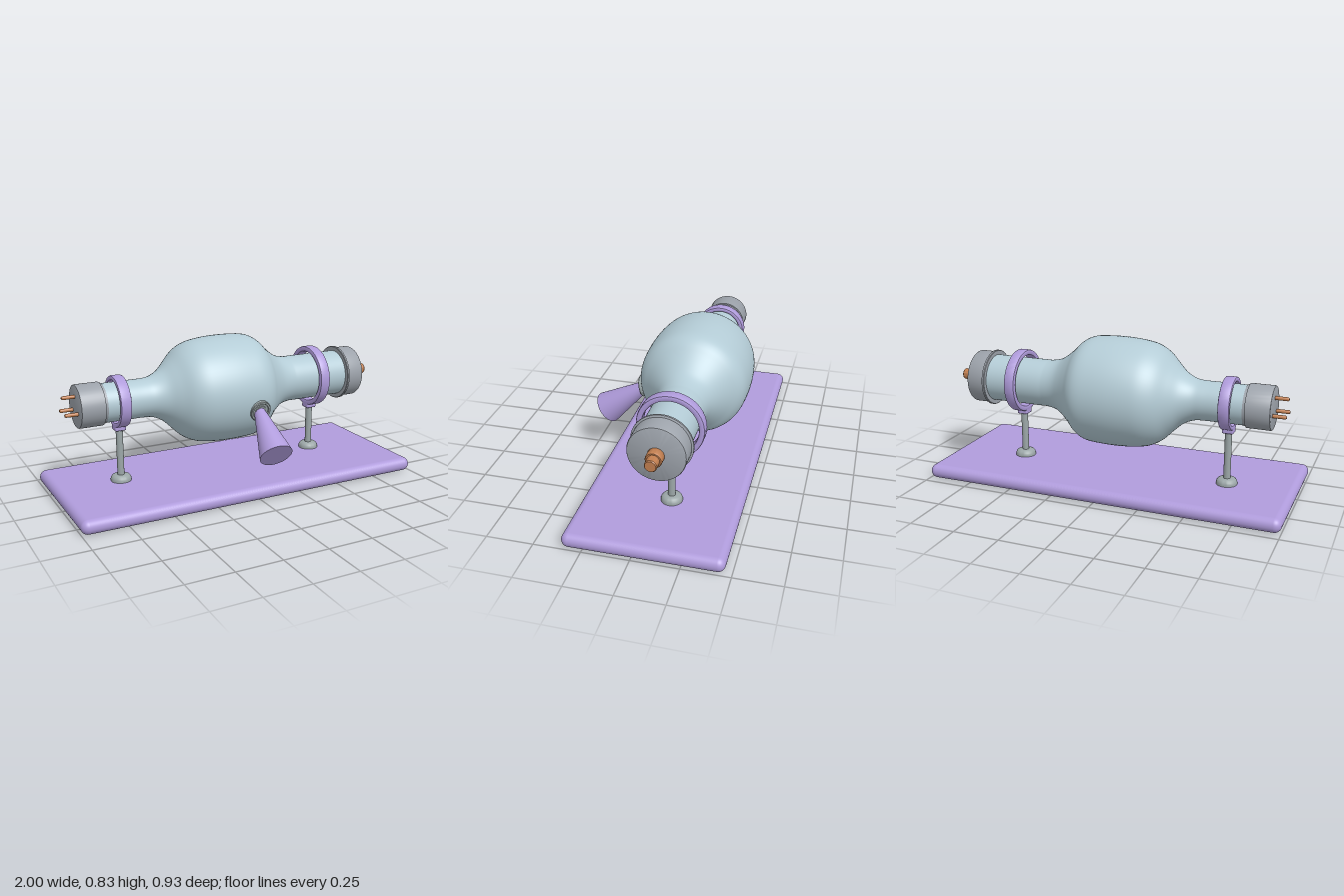
import * as THREE from 'three';
import { toCreasedNormals } from 'three/addons/utils/BufferGeometryUtils.js';
import { RoundedBoxGeometry } from 'three/addons/geometries/RoundedBoxGeometry.js';

const AXIS_Y = 0.528, AXIS_Z = -0.1;

function material(name, color) {
  const m = new THREE.MeshStandardMaterial({ color });
  m.name = name;
  return m;
}

export function createModel() {
  const glass = material('pale blue glass', 0xb4ccd6);
  const purple = material('lavender', 0xb09cdc);
  const metal = material('cap grey', 0x9da3ab);
  const steel = material('stand grey', 0x9ca7a8);
  const copper = material('copper', 0xc27f50);

  const model = new THREE.Group();
  model.name = 'tubeOnStand';

  function add(parent, name, geometry, mat, x = 0, y = 0, z = 0) {
    const mesh = new THREE.Mesh(geometry, mat);
    mesh.name = name;
    mesh.position.set(x, y, z);
    parent.add(mesh);
    return mesh;
  }

  // profile of [radius, height] turned around y, with sharp edges kept
  const turned = (profile, segments = 64) => toCreasedNormals(
    new THREE.LatheGeometry(profile.map(([r, h]) => new THREE.Vector2(r, h)), segments), 0.6);

  // everything in this group is turned around the long axis
  const tube = new THREE.Group();
  tube.name = 'tube';
  tube.position.set(0, AXIS_Y, AXIS_Z);
  model.add(tube);
  const along = (name, profile, mat, parent = tube) =>
    add(parent, name, turned(profile).rotateZ(-Math.PI / 2), mat);

  // base plate with fully rounded edges
  add(model, 'basePlate', new RoundedBoxGeometry(2, 0.078, 0.826, 8, 0.0385), purple, 0, 0.039, -0.053);

  // glass bulb with a narrow and a wide neck: [x, radius]
  const outline = [
    [-0.74, 0.106], [-0.6, 0.106], [-0.51, 0.106], [-0.45, 0.112], [-0.39, 0.14], [-0.337, 0.187],
    [-0.28, 0.242], [-0.22, 0.275], [-0.15, 0.29], [-0.05, 0.298], [0.05, 0.297], [0.13, 0.289],
    [0.18, 0.265], [0.225, 0.222], [0.28, 0.176], [0.33, 0.146], [0.39, 0.132], [0.46, 0.131], [0.76, 0.131]
  ];
  const curve = new THREE.SplineCurve(outline.map(([x, r]) => new THREE.Vector2(r, x)));
  add(tube, 'glassBulb', new THREE.LatheGeometry(curve.getPoints(90), 72).rotateZ(-Math.PI / 2), glass);

  // end caps with flanges
  along('narrowCap', [
    [0, -0.87], [0.109, -0.87], [0.115, -0.868], [0.117, -0.862], [0.117, -0.738],
    [0.109, -0.738], [0.109, -0.724], [0, -0.724]
  ], metal);
  along('wideCap', [
    [0, 0.74], [0.154, 0.74], [0.157, 0.743], [0.157, 0.753], [0.147, 0.757],
    [0.147, 0.846], [0.144, 0.852], [0.138, 0.855], [0, 0.855]
  ], metal);

  // copper contacts
  along('steppedContact', [
    [0, 0.85], [0.037, 0.85], [0.042, 0.858], [0.042, 0.898], [0.038, 0.904],
    [0.031, 0.904], [0.031, 0.95], [0.027, 0.955], [0, 0.955]
  ], copper);
  for (let i = 0; i < 3; i++) {
    const a = i * Math.PI * 2 / 3;
    const pin = along('contactPin' + (i + 1), [
      [0, -0.942], [0.006, -0.942], [0.01, -0.936], [0.01, -0.86], [0, -0.86]
    ], copper);
    pin.position.set(0, Math.cos(a) * 0.055, Math.sin(a) * 0.055);
  }

  // two supports: collar, bracket, post and foot
  function support(name, x, inner, outer) {
    const g = new THREE.Group();
    g.name = name;
    g.position.set(x, 0, AXIS_Z);
    model.add(g);
    const w = 0.031, c = 0.009;
    const collar = along('collar', [
      [inner + c, -w], [outer - c, -w], [outer - c * 0.3, -w + c * 0.3], [outer, -w + c],
      [outer, w - c], [outer - c * 0.3, w - c * 0.3], [outer - c, w], [inner + c, w],
      [inner + c * 0.3, w - c * 0.3], [inner, w - c], [inner, -w + c],
      [inner + c * 0.3, -w + c * 0.3], [inner + c, -w]
    ], purple, g);
    collar.position.y = AXIS_Y;
    const bottom = AXIS_Y - outer - 0.02;
    add(g, 'bracket', new RoundedBoxGeometry(0.062, 0.036, 0.06, 3, 0.007), purple, 0, bottom + 0.018, 0);
    add(g, 'post', new THREE.CylinderGeometry(0.019, 0.019, bottom - 0.075, 32), steel, 0, (bottom + 0.085) / 2, 0);
    add(g, 'foot', turned([
      [0, 0.07], [0.057, 0.07], [0.057, 0.088], [0.054, 0.099], [0.047, 0.107], [0.036, 0.112], [0, 0.112]
    ], 40), steel);
  }
  support('narrowSupport', -0.635, 0.115, 0.141);
  support('wideSupport', 0.573, 0.145, 0.176);

  // aims a part built along +y in the given direction
  const aim = (mesh, dir) => mesh.quaternion.setFromUnitVectors(new THREE.Vector3(0, 1, 0), dir.normalize());

  // port on the front of the bulb
  const port = add(model, 'port', turned([
    [0, -0.04], [0.06, -0.04], [0.06, 0.012], [0.057, 0.016], [0.047, 0.016],
    [0.045, 0.008], [0.033, 0.008], [0.031, 0.012], [0, 0.012]
  ], 48), steel, 0.075, 0.453, 0.184);
  aim(port, new THREE.Vector3(0, -0.25, 0.968));

  // flaring beam cone leaving the port
  const start = new THREE.Vector3(0.073, 0.447, 0.183), end = new THREE.Vector3(0.048, 0.27, 0.412);
  const dir = end.clone().sub(start);
  const mid = start.clone().add(end).multiplyScalar(0.5);
  const cone = add(model, 'beamCone', new THREE.CylinderGeometry(0.09, 0.03, dir.length(), 48), purple, mid.x, mid.y, mid.z);
  aim(cone, dir);

  return model;
}
